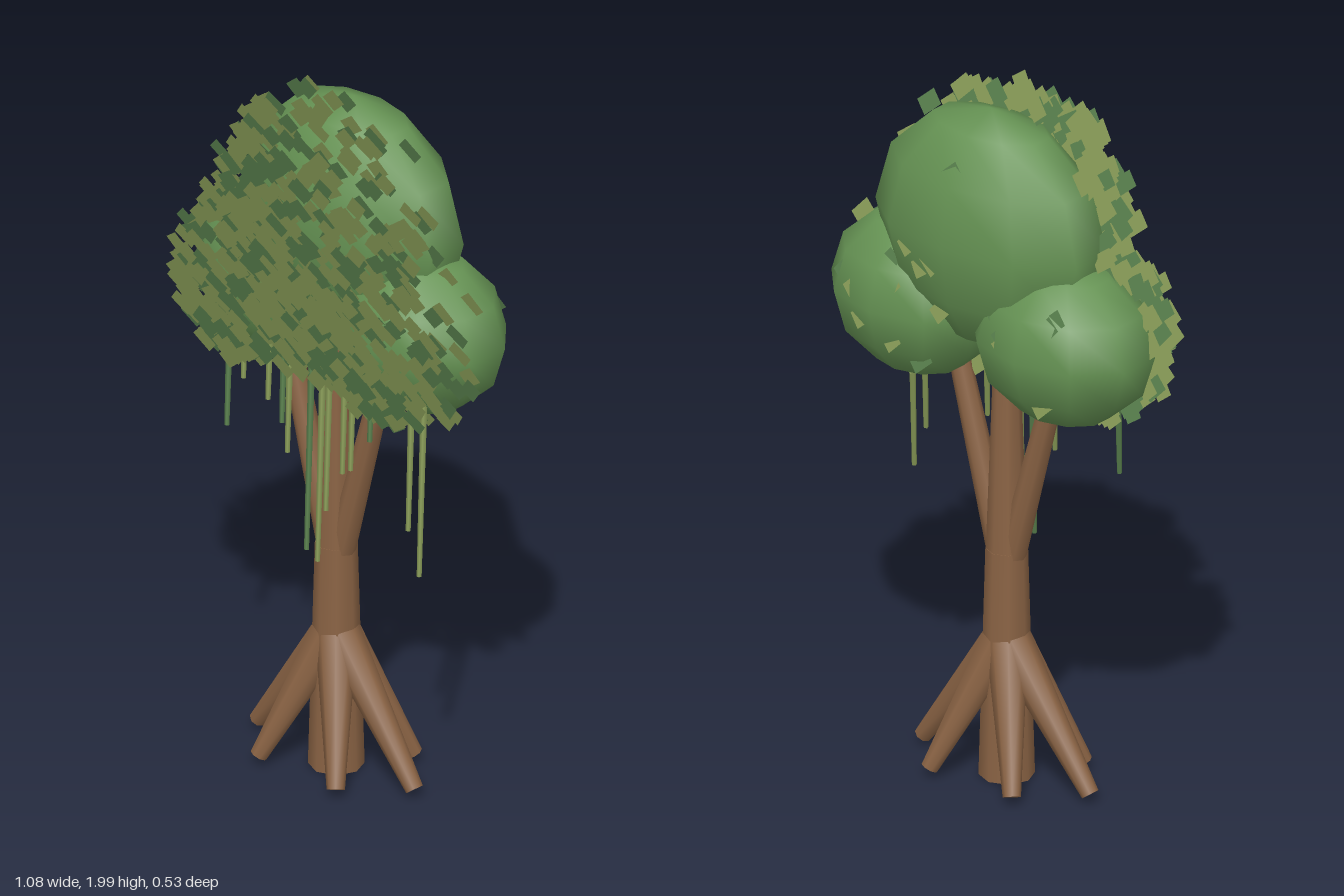
import * as THREE from 'three';
import { mergeGeometries } from 'three/addons/utils/BufferGeometryUtils.js';

const material = (name, color, side = THREE.FrontSide) => {
  const m = new THREE.MeshStandardMaterial({ color, side });
  m.name = name;
  return m;
};

// Small seeded random generator
function makeRandom(seed) {
  return () => {
    seed = (seed * 1664525 + 1013904223) >>> 0;
    return seed / 4294967296;
  };
}

// Tapered cylinder between two points
function limb(from, to, rFrom, rTo, sides) {
  const a = new THREE.Vector3(...from), b = new THREE.Vector3(...to);
  const dir = b.clone().sub(a);
  const g = new THREE.CylinderGeometry(rTo, rFrom, dir.length(), sides);
  g.applyQuaternion(new THREE.Quaternion().setFromUnitVectors(new THREE.Vector3(0, 1, 0), dir.normalize()));
  const mid = a.add(b).multiplyScalar(0.5);
  return g.translate(mid.x, mid.y, mid.z);
}

export function createModel() {
  const tree = new THREE.Group();
  tree.name = 'tree';
  const bark = material('bark brown', 0x8a6344);
  const foliage = material('foliage green', 0x659253);
  const oliveLeaf = material('olive leaf', 0x879a56, THREE.DoubleSide);
  const greenLeaf = material('dark green leaf', 0x587f4c, THREE.DoubleSide);

  const add = (name, geometry, mat) => {
    const mesh = new THREE.Mesh(geometry, mat);
    mesh.name = name;
    tree.add(mesh);
  };

  // Trunk and the three stems that fork from it
  add('trunk', limb([0, 0, 0], [0, 0.65, 0], 0.074, 0.056, 8), bark);
  add('middleStem', limb([0, 0.64, 0], [0, 1.28, 0], 0.055, 0.032, 8), bark);
  for (const s of [-1, 1]) {
    add(s > 0 ? 'leftStem' : 'rightStem', limb([s * 0.02, 0.64, 0], [s * 0.18, 1.22, 0], 0.038, 0.028, 8), bark);
  }

  // Six splayed roots
  const rootEnds = [[0.285, 0], [0.14, 0.145], [-0.14, 0.145], [-0.285, 0], [-0.14, -0.145], [0.14, -0.145]];
  for (const [x, z] of rootEnds) {
    add('root', limb([x * 0.04, 0.39, z * 0.04], [x, 0.025, z], 0.056, 0.024, 8), bark);
  }

  // Crown: one tall lobe over two lower ones
  const lobes = [
    { name: 'topCrown', c: [0, 1.6, -0.062], r: [0.36, 0.338, 0.203], leaf: [0.365, 0.365, 0.3], count: 400 },
    { name: 'leftCrown', c: [0.245, 1.347, -0.062], r: [0.26, 0.23, 0.203], leaf: [0.265, 0.24, 0.26], count: 210 },
    { name: 'rightCrown', c: [-0.248, 1.347, -0.062], r: [0.27, 0.23, 0.203], leaf: [0.265, 0.24, 0.26], count: 210 },
  ];
  for (const { name, c, r } of lobes) {
    add(name, new THREE.SphereGeometry(1, 10, 6, Math.PI / 2).scale(...r).translate(...c), foliage);
  }

  // Leaf cards: tilted squares scattered over the front of each lobe
  const random = makeRandom(17);
  const olive = [], green = [];
  const leafAt = (x, y, z) => {
    const g = new THREE.PlaneGeometry(0.064, 0.048);
    g.rotateZ((random() < 0.5 ? -1 : 1) * (0.6 + random() * 0.35));
    g.rotateX(0.28).translate(x, y, z);
    (random() < 0.66 ? olive : green).push(g);
  };
  for (const { c, leaf, count } of lobes) {
    for (let i = 0; i < count; i++) {
      const d = Math.sqrt((i + 0.5) / count);
      const a = i * 2.39996 + (random() - 0.5) * 0.5;
      const depth = Math.sqrt(1 - d * d) * leaf[2] * (0.78 + random() * 0.24);
      leafAt(c[0] + Math.cos(a) * d * leaf[0], c[1] + Math.sin(a) * d * leaf[1],
        c[2] + 0.01 + depth + (random() - 0.35) * d * 0.1);
    }
    // A few strays poking through the back
    for (let i = 0; i < 7; i++) {
      const a = random() * Math.PI * 2, d = 0.2 + random() * 0.5;
      leafAt(c[0] + Math.cos(a) * d * leaf[0], c[1] + Math.sin(a) * d * leaf[1],
        c[2] - Math.sqrt(1 - d * d) * 0.18);
    }
  }
  // Fill between the two lower lobes
  for (let i = 0; i < 30; i++) {
    leafAt((random() - 0.5) * 0.3, 1.2 + random() * 0.25, 0.1 + random() * 0.09);
  }
  add('oliveLeaves', mergeGeometries(olive), oliveLeaf);
  add('greenLeaves', mergeGeometries(green), greenLeaf);

  // Hanging vines: lower tip x, lower tip y, dark or not
  const vines = [
    [-0.3, 0.92, 1], [-0.08, 0.92, 0], [-0.1, 1.0, 1], [-0.01, 0.66, 1], [0.03, 0.64, 0],
    [0.06, 0.8, 0], [0.15, 0.95, 0], [0.12, 0.93, 0], [0.36, 0.85, 0], [0.4, 0.73, 0],
    [-0.24, 1.08, 0], [0.22, 1.06, 1], [-0.15, 1.05, 0],
  ];
  for (const [x, y, dark] of vines) {
    const length = 1.22 - y;
    add('vine', limb([x - length * 0.09, 1.22, 0.1 - length * 0.13], [x, y, 0.1], 0.01, 0.007, 5),
      dark ? greenLeaf : oliveLeaf);
  }
  return tree;
}
